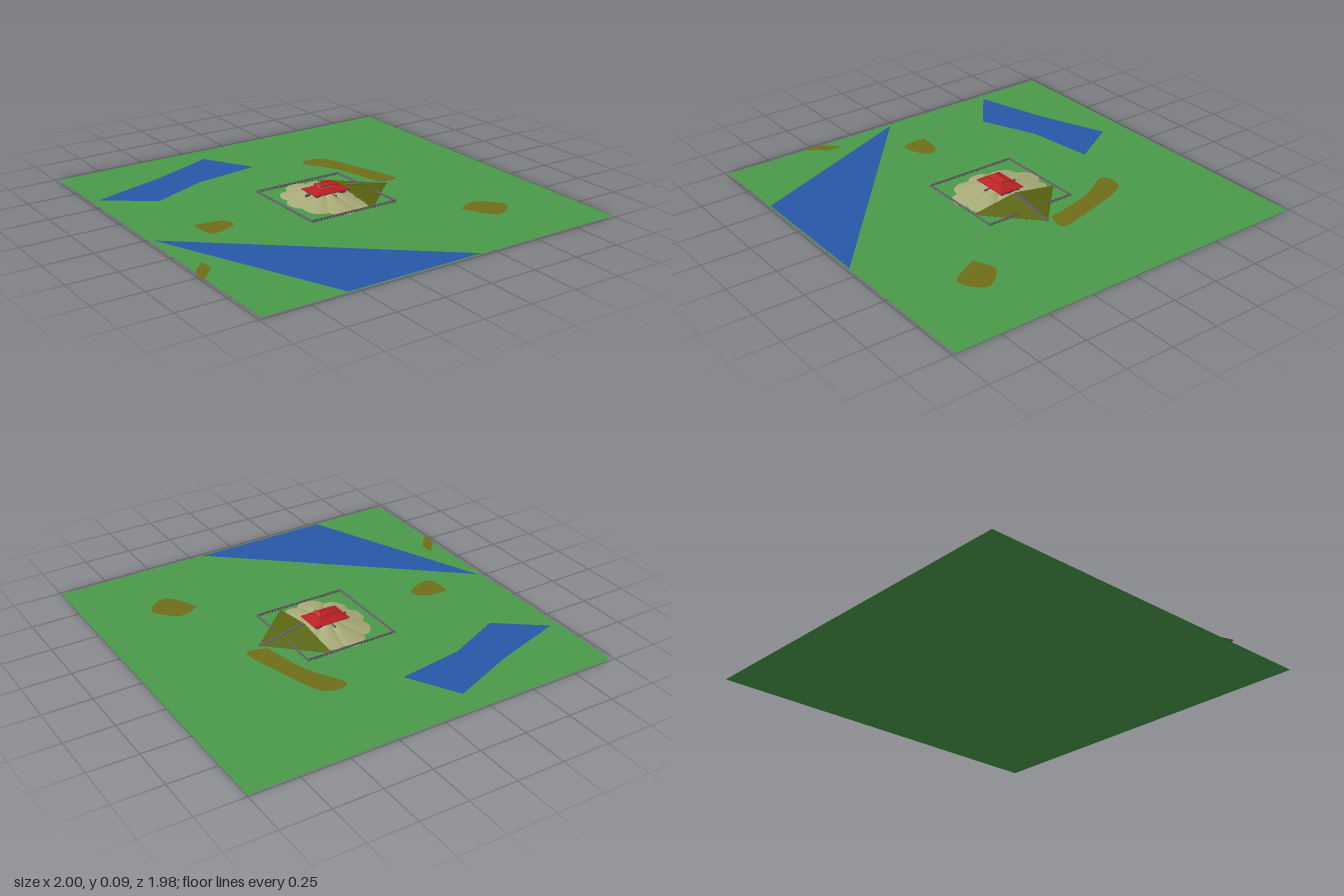
import * as THREE from 'three';

const mat = (color) => new THREE.MeshStandardMaterial({ color, flatShading: true, side: THREE.DoubleSide });
const GRASS = mat(0x4a9a4a), WATER = mat(0x2858a8), EARTH = mat(0x6e6e18), RAMP = mat(0x5a6610);
const HILL = mat(0xa8aa78), RED = mat(0xb82024), STONE = mat(0x6a6070), WALL = mat(0xb4a890), FENCE = mat(0x6c6670);

function add(parent, name, geometry, material, x = 0, y = 0, z = 0) {
  const mesh = new THREE.Mesh(geometry, material);
  mesh.name = name;
  mesh.position.set(x, y, z);
  parent.add(mesh);
  return mesh;
}

const box = (w, h, d) => new THREE.BoxGeometry(w, h, d);

// Flat sheet from [x, z] corners, facing up
function sheet(points, smooth = false) {
  let pts = points.map(([x, z]) => new THREE.Vector2(x, -z));
  if (smooth) pts = new THREE.SplineCurve([...pts, pts[0]]).getPoints(40).slice(0, -1);
  return new THREE.ShapeGeometry(new THREE.Shape(pts)).rotateX(-Math.PI / 2);
}

// Box whose top is narrowed to a given width and depth, standing on y = 0
function hipped(w, d, h, topW, topD) {
  const g = box(w, h, d).translate(0, h / 2, 0);
  const p = g.attributes.position;
  for (let i = 0; i < p.count; i++) {
    if (p.getY(i) > h / 2) p.setXYZ(i, Math.sign(p.getX(i)) * topW / 2, h, Math.sign(p.getZ(i)) * topD / 2);
  }
  g.computeVertexNormals();
  return g;
}

// Lobed mound, cut straight where it meets the ramp
function moundGeometry() {
  const g = new THREE.PlaneGeometry(1, 1, 96, 12);
  const p = g.attributes.position, uv = g.attributes.uv;
  for (let i = 0; i < p.count; i++) {
    const a = uv.getX(i) * Math.PI * 2, t = 1 - uv.getY(i);
    const lobe = Math.abs(Math.sin(4.5 * a + 0.4 * Math.sin(2 * a)));
    const r = t * (1 - 0.13 * t * Math.pow(1 - lobe, 1.5));
    const x = Math.min(0.205 * r * Math.cos(a), 0.12);
    const groove = 1 - 0.2 * (1 - lobe) * Math.sin(Math.PI * t);
    const y = 0.046 * Math.min(1, Math.pow((1 - t) / 0.82, 1.05)) * groove;
    p.setXYZ(i, x, y + 0.001, 0.255 * r * Math.sin(a));
  }
  g.computeVertexNormals();
  return g;
}

// Wedge falling from a ridge point to a tip on the ground
function rampGeometry() {
  const back = [[0.118, 0, -0.25], [0.118, 0, 0.25]], top = [0.128, 0.047, 0], tip = [0.385, 0.001, 0];
  const faces = [
    [back[1], tip, top], [tip, back[0], top],
    [back[0], back[1], top], [back[0], tip, back[1]],
  ];
  const g = new THREE.BufferGeometry();
  g.setAttribute('position', new THREE.Float32BufferAttribute(faces.flat(2), 3));
  g.computeVertexNormals();
  return g;
}

// One side of the fence: two rails on evenly spaced posts
function fenceSide(length) {
  const side = new THREE.Group();
  side.name = 'fenceSide';
  for (const y of [0.006, 0.0125]) add(side, 'fenceRail', box(length, 0.003, 0.004), FENCE, 0, y);
  const n = 28;
  for (let i = 0; i <= n; i++) {
    add(side, 'fencePost', box(0.005, 0.014, 0.003), FENCE, (i / n - 0.5) * length, 0.007);
  }
  return side;
}

export function createModel() {
  const model = new THREE.Group();
  model.name = 'hilltopPavilion';

  // Ground
  add(model, 'lawn', sheet([[-0.98, -0.99], [1, -0.99], [1, 0.985], [-0.98, 0.985]]), GRASS);

  // Water and worn earth lying on the lawn
  const ponds = [
    [[-0.96, 0.02], [0.18, 0.98], [-0.55, 0.98]],
    [[-0.94, -0.6], [-0.55, -0.72], [-0.2, -0.86], [-0.05, -0.6], [-0.4, -0.55], [-0.7, -0.42]],
  ];
  for (const p of ponds) add(model, 'pond', sheet(p), WATER, 0, 0.0006);
  const patches = [
    [[0.36, -0.04], [0.47, -0.03], [0.42, -0.25], [0.33, -0.5], [0.2, -0.5], [0.3, -0.3]],
    [[0.46, 0.5], [0.58, 0.46], [0.68, 0.58], [0.56, 0.66]],
    [[-0.72, -0.04], [-0.58, -0.02], [-0.56, 0.06], [-0.7, 0.1]],
  ];
  for (const p of patches) add(model, 'earthPatch', sheet(p, true), EARTH, 0, 0.001);
  add(model, 'pathEnd', sheet([[-0.9, 0.36], [-0.9, 0.44], [-0.98, 0.53], [-1, 0.52], [-0.975, 0.44]]), EARTH, 0, 0.001);

  // Mound and approach ramp
  add(model, 'mound', moundGeometry(), HILL);
  add(model, 'ramp', rampGeometry(), RAMP);

  // Stair climbing the ridge of the ramp
  const steps = 16;
  for (let i = 0; i < steps; i++) {
    const t = (i + 0.5) / steps;
    add(model, 'step', box(0.255 / steps, 0.004, 0.016), STONE, 0.128 + 0.255 * t, 0.047 * (1 - t), 0);
  }

  // Fence around the mound
  const fence = new THREE.Group();
  fence.name = 'fence';
  for (let i = 0; i < 4; i++) {
    const side = fenceSide(0.495), a = i * Math.PI / 2;
    side.position.set(0.007 + 0.2475 * Math.sin(a), 0, 0.2475 * Math.cos(a));
    side.rotation.y = a;
    fence.add(side);
  }
  model.add(fence);

  // Two-tier pavilion
  const pavilion = new THREE.Group();
  pavilion.name = 'pavilion';
  pavilion.position.x = 0.006;
  add(pavilion, 'terrace', box(0.17, 0.012, 0.11), STONE, 0, 0.034);
  add(pavilion, 'lowerWall', box(0.14, 0.02, 0.085), WALL, 0, 0.04);
  add(pavilion, 'lowerEave', box(0.2, 0.003, 0.14), RED, 0, 0.046);
  add(pavilion, 'lowerRoof', hipped(0.2, 0.14, 0.014, 0.1, 0.055), RED, 0, 0.047);
  add(pavilion, 'upperWall', box(0.08, 0.014, 0.04), WALL, 0, 0.066);
  add(pavilion, 'upperEave', box(0.104, 0.003, 0.068), RED, 0, 0.073);
  add(pavilion, 'upperRoof', hipped(0.104, 0.068, 0.011, 0.066, 0.006), RED, 0, 0.074);
  add(pavilion, 'roofRidge', box(0.07, 0.003, 0.005), RED, 0, 0.0855);
  for (const sx of [-1, 1]) {
    for (const sz of [-1, 1]) {
      add(pavilion, 'cornerColumn', new THREE.CylinderGeometry(0.003, 0.003, 0.02, 6), RED, sx * 0.078, 0.037, sz * 0.05);
    }
  }
  // Short stone buttresses on the open sides
  for (const [x, z, w, d] of [[-0.105, 0, 0.03, 0.008], [0, -0.075, 0.008, 0.04], [0, 0.075, 0.008, 0.04]]) {
    add(pavilion, 'buttress', box(w, 0.012, d), STONE, x, 0.034, z);
  }
  model.add(pavilion);

  return model;
}
